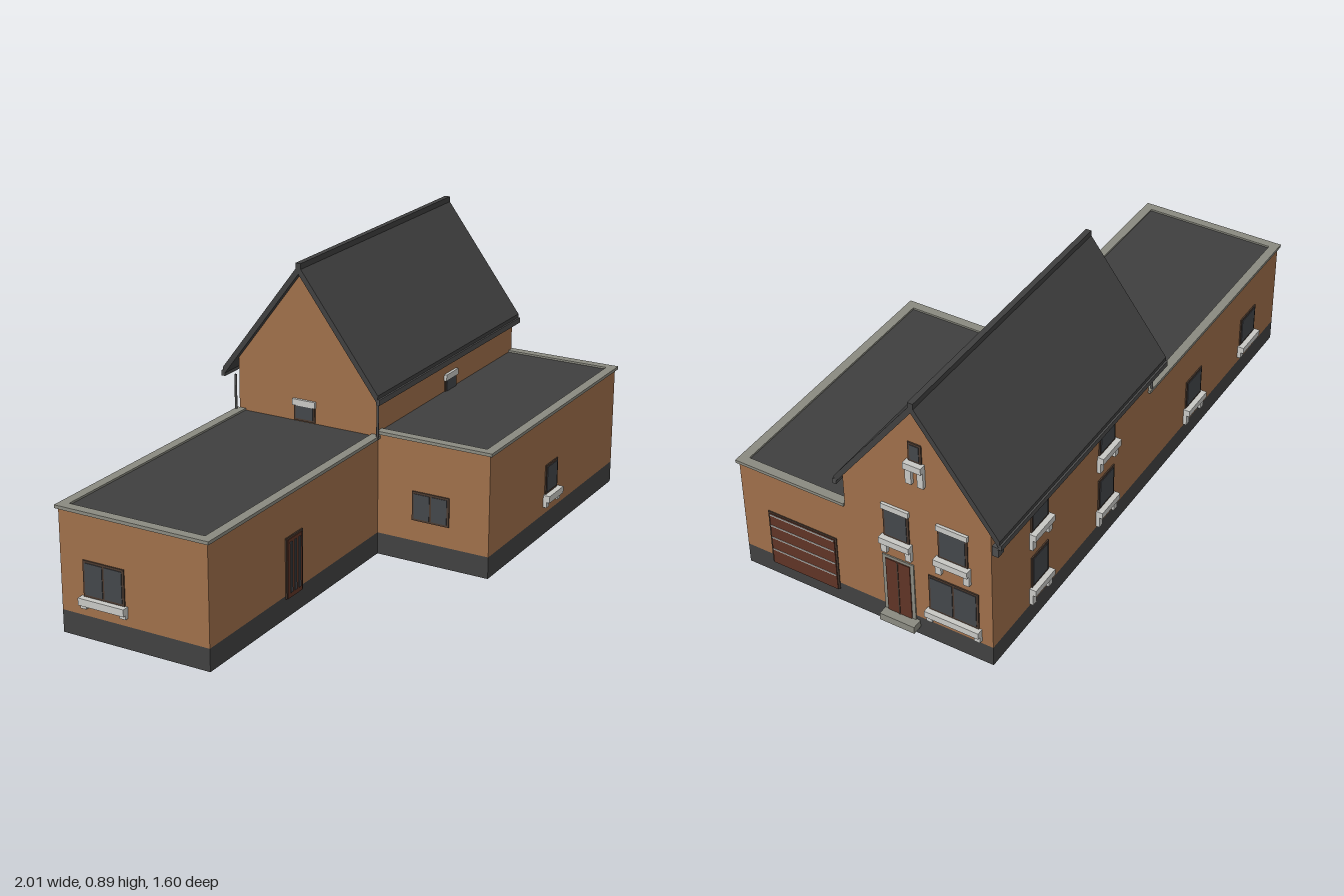
import * as THREE from 'three';

const mat = (name, color, side = THREE.FrontSide) => {
  const m = new THREE.MeshStandardMaterial({ color, side });
  m.name = name;
  return m;
};

export function createModel() {
  const brick = mat('brick', 0x9f6f4a, THREE.DoubleSide);
  const plinth = mat('plinth', 0x414141, THREE.DoubleSide);
  const slate = mat('slate', 0x3f3f3f);
  const coping = mat('coping', 0x8a8a80);
  const stone = mat('pale stone', 0xc8c8c4);
  const wood = mat('door wood', 0x5f3426);
  const frame = mat('window frame', 0x4a3a30);
  const glass = mat('glass', 0x43464a);
  const metal = mat('gutter metal', 0x4c4c4c);

  const model = new THREE.Group();
  model.name = 'house';
  // The house stands diagonally: its long axis is the local x axis.
  const house = new THREE.Group();
  house.name = 'building';
  house.rotation.y = 0.669;
  model.add(house);

  const add = (parent, name, geo, m, x = 0, y = 0, z = 0) => {
    const mesh = new THREE.Mesh(geo, m);
    mesh.name = name;
    mesh.position.set(x, y, z);
    parent.add(mesh);
    return mesh;
  };
  const block = (parent, name, m, x0, x1, y0, y1, z0, z1) =>
    add(parent, name, new THREE.BoxGeometry(x1 - x0, y1 - y0, z1 - z0), m,
      (x0 + x1) / 2, (y0 + y1) / 2, (z0 + z1) / 2);

  // Key plan positions
  const X0 = -1.028, XM = -0.105, X1 = 0.811;       // wing end, main gable, garage gable
  const ZB = -0.31, ZF = 0.185, ZA = 0.562;         // back, main front, annex front
  const WING = 0.38, ANNEX = 0.395, BASE = 0.07;
  const RIDGE = -0.08, APEX = 0.885, EAVE = 0.52, HALF = 0.275, THICK = 0.028;
  const under = z => APEX - THICK - Math.abs(z - RIDGE) * (APEX - EAVE) / HALF;

  // Each face is a group whose +z looks outward
  const face = (name, x, z, turn) => {
    const g = new THREE.Group();
    g.name = name;
    g.position.set(x, 0, z);
    g.rotation.y = turn;
    house.add(g);
    return g;
  };
  const front = face('mainFront', 0, ZF, 0);
  const annexFront = face('annexFront', 0, ZA, 0);
  const back = face('backSide', 0, ZB, Math.PI);
  const right = face('garageGable', X1, 0, Math.PI / 2);
  const left = face('mainLeftGable', XM, 0, -Math.PI / 2);
  const end = face('wingEnd', X0, 0, -Math.PI / 2);

  // Walls: thin sheets with a dark plinth band below
  const sheet = (g, name, m, s0, s1, y0, y1) =>
    add(g, name, new THREE.PlaneGeometry(s1 - s0, y1 - y0), m, (s0 + s1) / 2, (y0 + y1) / 2, 0);
  const wall = (g, s0, s1, top) => {
    sheet(g, 'wall', brick, s0, s1, BASE, top);
    sheet(g, 'plinth', plinth, s0, s1, 0, BASE);
  };
  wall(front, X0, XM, WING);
  sheet(front, 'upperWall', brick, XM, X1, ANNEX - 0.01, under(ZF));
  wall(annexFront, XM, X1, ANNEX);
  wall(back, -X1, -XM, under(ZB));
  wall(back, -XM, -X0, WING);
  wall(end, ZB, ZF, WING);
  wall(left, ZF, ZA, ANNEX);
  wall(right, -ZA, -ZF, ANNEX);
  sheet(right, 'plinth', plinth, -ZF, -ZB, 0, BASE);
  const gable = (g, sign, y0) => {
    const s = new THREE.Shape([[ZB, y0], [ZF, y0], [ZF, under(ZF)], [RIDGE, under(RIDGE)], [ZB, under(ZB)]]
      .map(([z, y]) => new THREE.Vector2(sign * z, y)));
    add(g, 'gableWall', new THREE.ShapeGeometry(s), brick);
  };
  gable(right, -1, BASE);
  gable(left, 1, WING - 0.01);

  // Pitched roof with ridge cap and gutters
  const outline = [[-HALF, EAVE], [0, APEX], [HALF, EAVE], [HALF, EAVE - THICK], [0, APEX - THICK], [-HALF, EAVE - THICK]];
  const RX0 = -0.127, RX1 = 0.838;
  const roofGeo = new THREE.ExtrudeGeometry(
    new THREE.Shape(outline.map(([z, y]) => new THREE.Vector2(z - RIDGE, y))),
    { depth: RX1 - RX0, bevelEnabled: false });
  roofGeo.rotateY(Math.PI / 2);
  add(house, 'mainRoof', roofGeo, slate, RX0);
  block(house, 'ridgeCap', slate, RX0, RX1, APEX - 0.012, APEX + 0.006, RIDGE - 0.009, RIDGE + 0.009);
  for (const s of [-1, 1]) {
    const z = RIDGE + s * HALF;
    block(house, 'gutter', metal, RX0, RX1, 0.49, 0.508, z - 0.006, z + 0.006);
    add(house, 'downpipe', new THREE.CylinderGeometry(0.004, 0.004, 0.12, 8), metal,
      XM - 0.015, 0.44, s > 0 ? ZF + 0.006 : ZB - 0.004);
  }
  block(house, 'gutterEnd', metal, RX1 - 0.03, RX1, 0.46, 0.495, ZB - 0.04, ZB - 0.02);

  // Flat roofs edged with coping on their three free sides
  const flatRoof = (name, x0, x1, z0, z1, y, edges) => {
    block(house, name + 'Roof', slate, x0, x1, y - 0.006, y + 0.002, z0, z1);
    const o = 0.008, w = 0.03;
    const strips = {
      left: [x0 - o, x0 + w - o, z0, z1], right: [x1 - w + o, x1 + o, z0, z1],
      front: [x0 - o, x1 + o, z1 - w + o, z1 + o], back: [x0 - o, x1, z0 - o, z0 + w - o],
    };
    for (const e of edges) {
      const [a, b, c, d] = strips[e];
      block(house, name + 'Coping', coping, a, b, y - 0.002, y + 0.008, c, d);
    }
  };
  flatRoof('wing', X0, XM, ZB, ZF, WING, ['left', 'front', 'back']);
  flatRoof('annex', XM, X1, ZF, ZA, ANNEX, ['left', 'front', 'right']);

  // Window: frame, panes, optional lintel and a sill with two dropped ends
  const windowAt = (g, s0, s1, y0, y1, { panes = 1, sill = 0.05, lintel = false } = {}) => {
    const w = new THREE.Group();
    w.name = 'window';
    g.add(w);
    block(w, 'frame', frame, s0, s1, y0, y1, -0.006, 0.004);
    const t = 0.007, step = (s1 - s0 - t) / panes;
    for (let i = 0; i < panes; i++)
      block(w, 'pane', glass, s0 + t + i * step, s0 + (i + 1) * step, y0 + t, y1 - t, -0.008, 0.006);
    if (lintel) block(w, 'lintel', stone, s0 - 0.003, s1 + 0.003, y1 - 0.018, y1 + 0.002, 0, 0.009);
    if (sill) {
      block(w, 'sill', stone, s0 - 0.008, s1 + 0.008, y0 - 0.022, y0, 0, 0.022);
      for (const s of [s0 - 0.008, s1 - 0.012])
        block(w, 'sillEnd', stone, s, s + 0.02, y0 - sill, y0 - 0.022, 0, 0.012);
    }
  };
  // Garage gable
  windowAt(right, -0.05, 0.037, 0.345, 0.465, { sill: 0.06, lintel: true });
  windowAt(right, 0.135, 0.233, 0.345, 0.465, { sill: 0.06, lintel: true });
  windowAt(right, 0.097, 0.265, 0.125, 0.257, { panes: 2, sill: 0.045 });
  windowAt(right, 0.048, 0.092, 0.665, 0.73, { sill: 0.08 });
  // Back side
  for (const s of [-0.6, -0.205]) {
    windowAt(back, s, s + 0.095, 0.35, 0.465, { sill: 0.06, lintel: true });
    windowAt(back, s, s + 0.095, 0.135, 0.25, { sill: 0.06 });
  }
  windowAt(back, 0.37, 0.475, 0.135, 0.24, { sill: 0.06 });
  windowAt(back, 0.764, 0.87, 0.135, 0.24, { sill: 0.045 });
  // Wing end, annex and small upper windows
  windowAt(end, -0.231, -0.092, 0.13, 0.24, { panes: 2, sill: 0.035 });
  windowAt(left, 0.305, 0.43, 0.138, 0.232, { panes: 2, sill: 0 });
  windowAt(annexFront, 0.285, 0.371, 0.135, 0.232, { sill: 0.04 });
  windowAt(front, 0.325, 0.4, 0.39, 0.452, { sill: 0, lintel: true });
  windowAt(left, -0.11, -0.035, 0.385, 0.452, { sill: 0, lintel: true });

  // Entrance with stone surround and step
  block(right, 'doorSurround', coping, -0.06, 0.047, 0.04, 0.268, -0.004, 0.004);
  block(right, 'entranceDoor', wood, -0.048, 0.035, 0.045, 0.258, -0.006, 0.007);
  block(right, 'doorGap', frame, -0.009, -0.005, 0.045, 0.258, 0, 0.009);
  block(right, 'doorStep', coping, -0.06, 0.06, 0.03, 0.055, 0, 0.035);

  // Garage door with pale panel lines
  block(right, 'garageFrame', frame, -0.47, -0.224, 0.045, 0.246, -0.004, 0.003);
  block(right, 'garageDoor', wood, -0.464, -0.23, 0.045, 0.24, -0.006, 0.006);
  for (const y of [0.1, 0.147, 0.194, 0.236])
    block(right, 'garageLine', stone, -0.462, -0.232, y - 0.002, y + 0.002, 0, 0.008);

  // Side door of the wing with narrow glass strips
  block(front, 'sideDoorFrame', frame, -0.64, -0.55, 0.06, 0.248, -0.005, 0.004);
  block(front, 'sideDoor', wood, -0.633, -0.557, 0.06, 0.242, -0.007, 0.006);
  for (const s of [-0.622, -0.6, -0.578])
    block(front, 'sideDoorGlass', glass, s, s + 0.011, 0.075, 0.232, 0, 0.008);

  return model;
}
